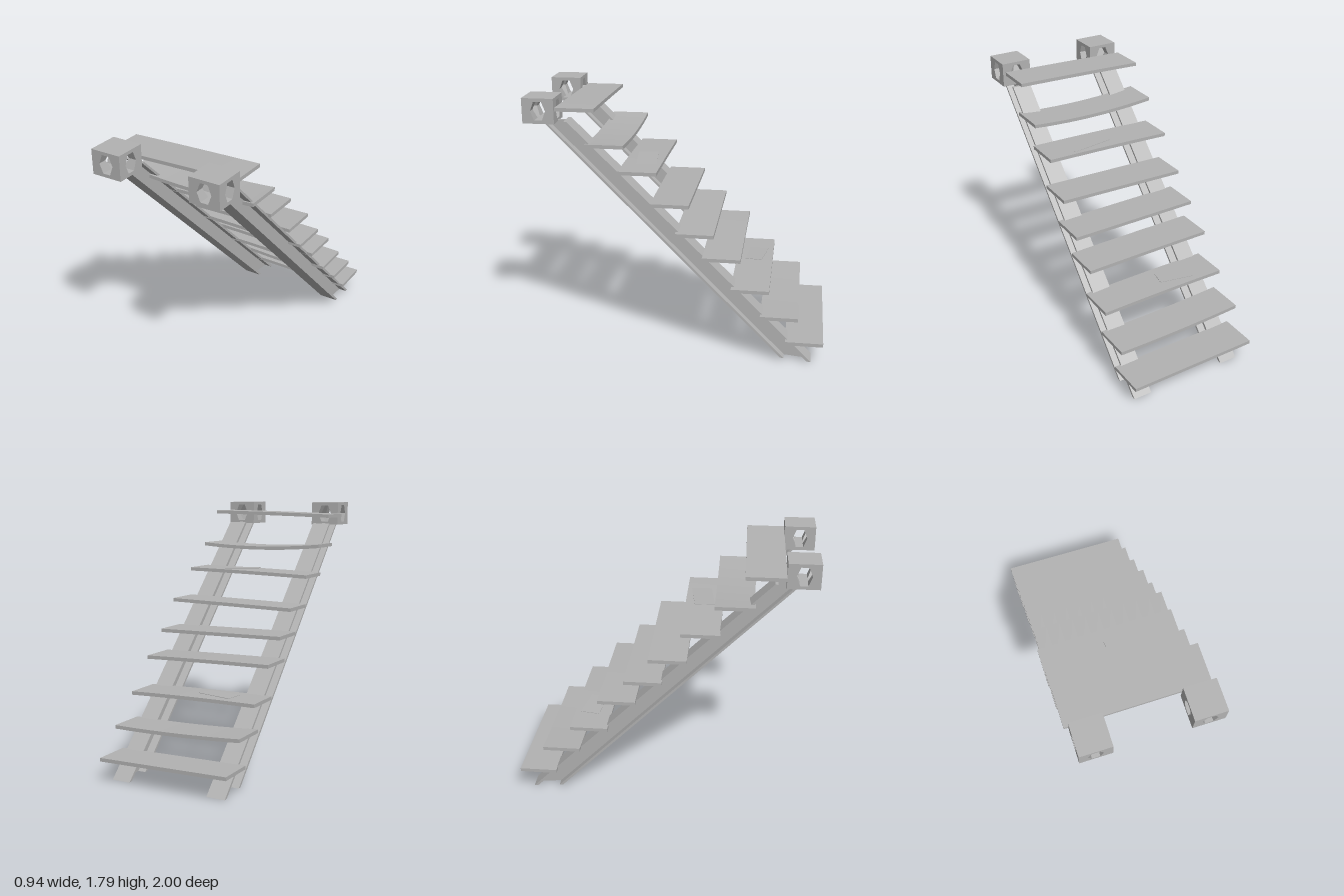
import * as THREE from 'three';

const steel = new THREE.MeshStandardMaterial({ color: 0xb2b2b2, side: THREE.DoubleSide });
steel.name = 'grey';

function add(parent, geometry, name) {
  const mesh = new THREE.Mesh(geometry, steel);
  mesh.name = name;
  parent.add(mesh);
  return mesh;
}

// Side outline given as [z, y] points, extruded across x
function sidePrism(points, x0, x1) {
  const shape = new THREE.Shape(points.map(([z, y]) => new THREE.Vector2(-z, y)));
  return new THREE.ExtrudeGeometry(shape, { depth: x1 - x0, bevelEnabled: false })
    .rotateY(Math.PI / 2).translate(x0, 0, 0);
}

// Sloping I-beam: two flanges joined by a thin web
function makeBeam(x0, x1) {
  const beam = new THREE.Group();
  const under = [[0.88, 1.63], [-0.71, 0.02]];
  const over = [[0.72, 1.63], [-0.92, 0]];
  const mix = (end, t) => [0, 1].map(i => under[end][i] + (over[end][i] - under[end][i]) * t);
  const strip = (t0, t1) => [mix(0, t0), mix(1, t0), mix(1, t1), mix(0, t1)];
  const mid = (x0 + x1) / 2;
  add(beam, sidePrism(strip(0, 0.12), x0, x1), 'lowerFlange');
  add(beam, sidePrism(strip(0.12, 0.87), mid - 0.01, mid + 0.01), 'web');
  add(beam, sidePrism(strip(0.87, 1), x0, x1), 'upperFlange');
  return beam;
}

// Plank whose height follows a curve through its left, middle and right heights
function makeTread(x0, x1, z0, z1, yA, yB, yC) {
  const geo = new THREE.BoxGeometry(x1 - x0, 0.024, z0 - z1, 10, 1, 1);
  const p = geo.attributes.position;
  for (let i = 0; i < p.count; i++) {
    const s = p.getX(i) / ((x1 - x0) / 2);
    p.setY(i, p.getY(i) + yB + s * (yC - yA) / 2 + s * s * ((yA + yC) / 2 - yB));
  }
  geo.translate((x0 + x1) / 2, 0, (z0 + z1) / 2);
  geo.computeVertexNormals();
  return geo;
}

// Thin loose sheet, outline as [x, z], tilted along x
function makeSheet(points, y, slope) {
  const shape = new THREE.Shape(points.map(([x, z]) => new THREE.Vector2(x, -z)));
  const geo = new THREE.ExtrudeGeometry(shape, { depth: 0.003, bevelEnabled: false }).rotateX(-Math.PI / 2);
  const p = geo.attributes.position;
  for (let i = 0; i < p.count; i++) p.setY(i, p.getY(i) + y + slope * p.getX(i));
  geo.computeVertexNormals();
  return geo;
}

// Bracket block with two crossing hexagonal tunnels
function makeBracket() {
  const group = new THREE.Group();
  const W = 0.105, H = 0.083;
  // Hexagon, split at the middle of its flat edges so the tunnels can mitre
  const hex = [[0.05, 0], [0.026, 0.061], [0, 0.061], [-0.026, 0.061],
    [-0.05, 0], [-0.026, -0.061], [0, -0.061], [0.026, -0.061]];
  const face = new THREE.Shape([[-W, -H], [W, -H], [W, H], [-W, H]].map(p => new THREE.Vector2(...p)));
  face.holes.push(new THREE.Path(hex.map(p => new THREE.Vector2(...p)).reverse()));
  const panel = new THREE.ShapeGeometry(face).translate(0, 0, W);

  const pos = [];
  hex.forEach((a, i) => {
    const b = hex[(i + 1) % hex.length];
    const ao = [...a, W], bo = [...b, W];
    const ai = [...a, Math.abs(a[0])], bi = [...b, Math.abs(b[0])];
    pos.push(...ao, ...bo, ...bi, ...ao, ...bi, ...ai);
  });
  const tunnel = new THREE.BufferGeometry();
  tunnel.setAttribute('position', new THREE.Float32BufferAttribute(pos, 3));
  tunnel.computeVertexNormals();

  for (let k = 0; k < 4; k++) {
    add(group, panel, 'bracketFace').rotation.y = k * Math.PI / 2;
    add(group, tunnel, 'bracketTunnel').rotation.y = k * Math.PI / 2;
  }
  for (const s of [1, -1]) {
    const cap = new THREE.PlaneGeometry(2 * W, 2 * W).rotateX(-s * Math.PI / 2).translate(0, s * H, 0);
    add(group, cap, s > 0 ? 'bracketTop' : 'bracketBottom');
  }
  return group;
}

export function createModel() {
  const model = new THREE.Group();
  model.name = 'openStaircase';

  // Two stringers with a bracket at the head of each
  [['right', -0.405, -0.275, -0.34], ['left', 0.298, 0.43, 0.365]].forEach(([side, x0, x1, cx]) => {
    const beam = makeBeam(x0, x1);
    beam.name = side + 'Stringer';
    const bracket = makeBracket();
    bracket.name = side + 'Bracket';
    bracket.position.set(cx, 1.703, 0.895);
    model.add(beam, bracket);
  });

  // Treads from top to bottom: x start, front z, heights at -x end, middle, +x end
  const treads = [
    [-0.475, 0.79, 1.69, 1.703, 1.712],
    [-0.475, 0.605, 1.482, 1.457, 1.476],
    [-0.475, 0.39, 1.282, 1.295, 1.302],
    [-0.455, 0.175, 1.076, 1.086, 1.095],
    [-0.455, 0.01, 0.906, 0.9, 0.894],
    [-0.455, -0.17, 0.748, 0.742, 0.731],
    [-0.455, -0.365, 0.53, 0.528, 0.516],
    [-0.455, -0.565, 0.355, 0.332, 0.328],
    [-0.455, -0.74, 0.165, 0.158, 0.151],
  ];
  treads.forEach(([x0, z0, a, b, c], i) =>
    add(model, makeTread(x0, x0 + 0.925, z0, z0 - 0.257, a, b, c), 'tread' + (i + 1)));

  // Loose sheets lying on two treads
  add(model, makeSheet([[-0.05, 0.2], [-0.03, 0.335], [0.27, 0.3], [0.25, 0.16]], 1.314, -0.02), 'upperSheet');
  add(model, makeSheet([[-0.27, -0.45], [-0.03, -0.43], [-0.01, -0.545], [-0.25, -0.585]], 0.552, 0.02), 'lowerSheet');

  return model;
}
